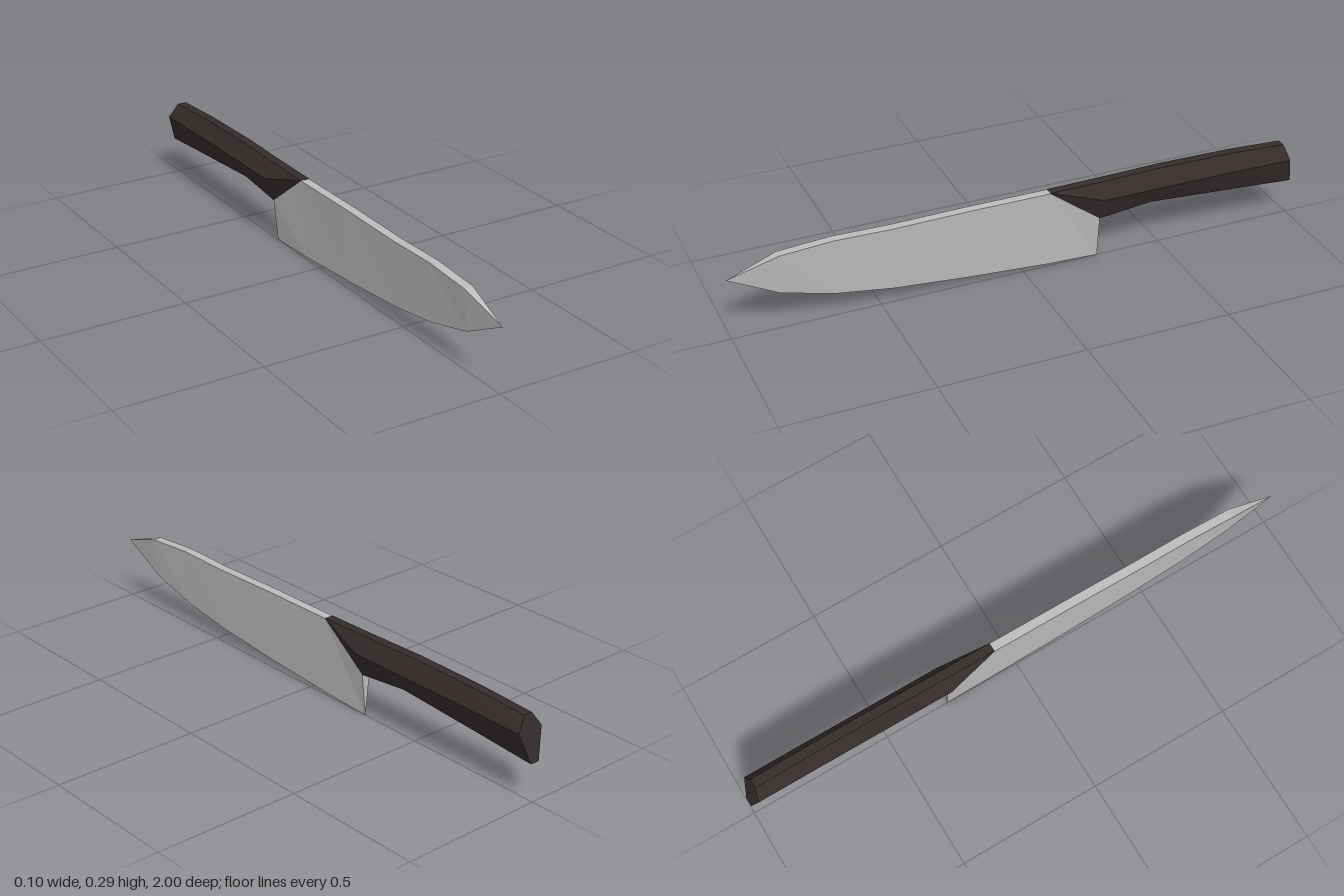
import * as THREE from 'three';

// Skins rings of [x, y, z] points (counter-clockwise seen from +z, ordered back to front) and caps the ends.
function loft(rings) {
  const pos = [];
  const tri = (a, b, c) => pos.push(...a, ...b, ...c);
  const n = rings[0].length;
  for (let i = 0; i < rings.length - 1; i++) {
    for (let j = 0; j < n; j++) {
      const k = (j + 1) % n;
      const a = rings[i][j], b = rings[i][k], c = rings[i + 1][k], d = rings[i + 1][j];
      tri(a, b, c);
      tri(a, c, d);
    }
  }
  const back = rings[0], front = rings[rings.length - 1];
  for (let j = 1; j < n - 1; j++) {
    tri(back[0], back[j + 1], back[j]);
    tri(front[0], front[j], front[j + 1]);
  }
  const g = new THREE.BufferGeometry();
  g.setAttribute('position', new THREE.Float32BufferAttribute(pos, 3));
  g.computeVertexNormals(); // unshared vertices give flat facets
  return g;
}

export function createModel() {
  const steel = new THREE.MeshStandardMaterial({ color: 0xbcbcbc });
  steel.name = 'steel';
  const darkWood = new THREE.MeshStandardMaterial({ color: 0x342c2b });
  darkWood.name = 'darkWood';
  const knife = new THREE.Group();
  knife.name = 'kitchenKnife';

  // Blade: wedge sections from heel to tip [z, edge y, spine y, half thickness]
  const bladeRings = [
    [-0.27, 0, 0.15, 0.016],
    [-0.09, 0.007, 0.285, 0.016],
    [0.2, 0.027, 0.285, 0.016],
    [0.46, 0.051, 0.281, 0.016],
    [0.65, 0.08, 0.285, 0.016],
    [0.83, 0.128, 0.273, 0.016],
    [1, 0.217, 0.217, 0],
  ].map(([z, edge, spine, w]) => [[0, edge, z], [w, spine, z], [-w, spine, z]]);
  const blade = new THREE.Mesh(loft(bladeRings), steel);
  blade.name = 'blade';
  knife.add(blade);

  // Handle: six-sided sections; each row is [bottom, middle, top] as [half width, y, z]
  const w = 0.016;
  const handleRings = [
    [[w, 0.133, -1], [0.048, 0.232, -0.975], [w, 0.28, -0.963]],
    [[w, 0.15, -0.76], [0.048, 0.235, -0.76], [w, 0.29, -0.76]],
    [[w, 0.17, -0.46], [0.048, 0.235, -0.48], [w, 0.293, -0.5]],
    [[w, 0.15, -0.27], [0.048, 0.235, -0.27], [w, 0.288, -0.27]],
    [[w, 0.15, -0.27], [w, 0.286, -0.09], [w, 0.286, -0.09]], // slanted joint with the blade
  ].map(([b, m, t]) => {
    const left = [b, m, t];
    const right = [t, m, b].map(([x, y, z]) => [-x, y, z]);
    return [...left, ...right];
  });
  const handle = new THREE.Mesh(loft(handleRings), darkWood);
  handle.name = 'handle';
  knife.add(handle);

  return knife;
}
